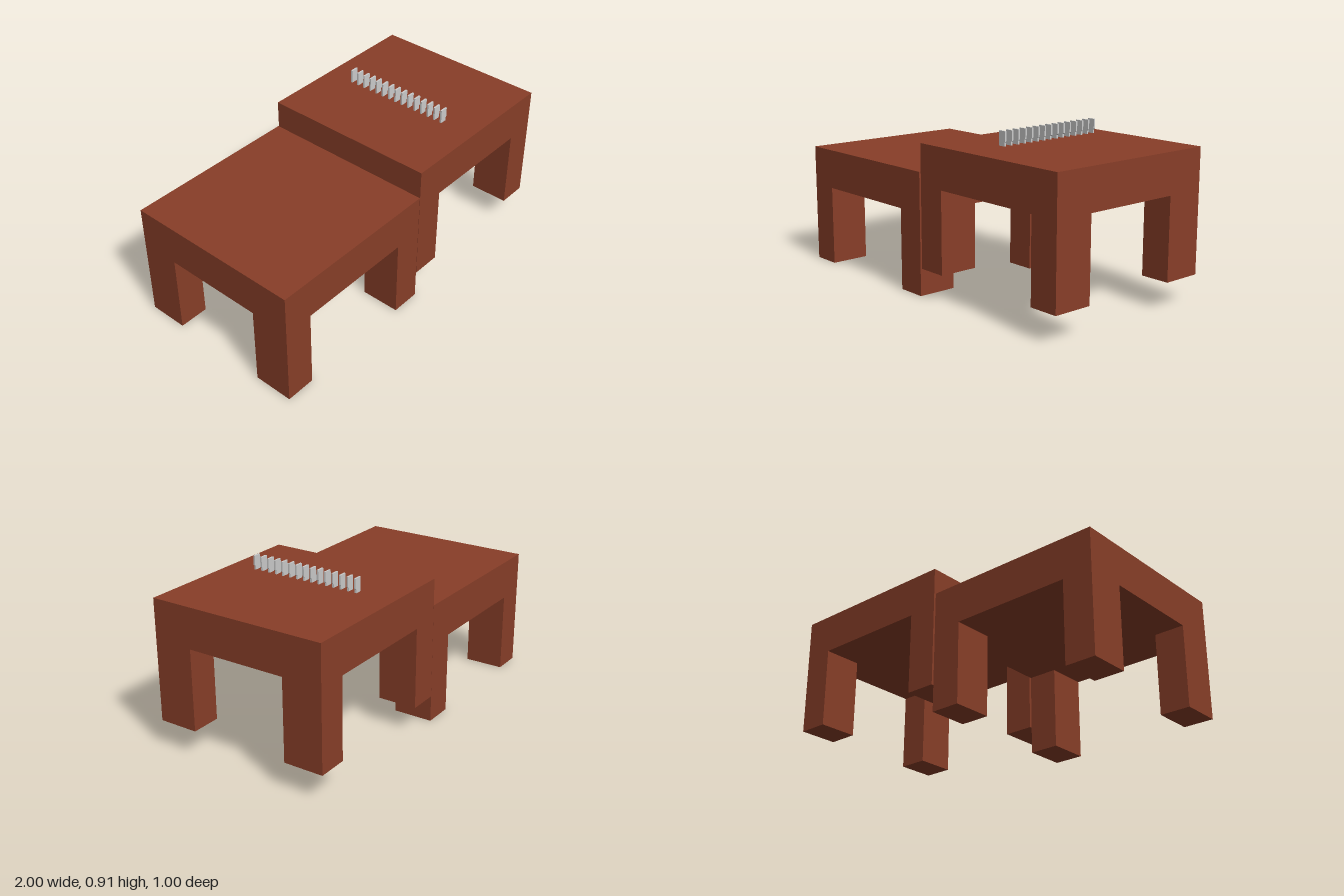
import * as THREE from 'three';

const SIZE = 0.996, HEIGHT = 0.665, SLAB = 0.22, LEG_X = 0.166, LEG_Z = 0.22;

// A square table: thick slab on four corner legs, standing on its own y = 0
function makeTable(name, material) {
  const table = new THREE.Group();
  table.name = name;

  const top = new THREE.Mesh(new THREE.BoxGeometry(SIZE, SLAB, SIZE), material);
  top.name = 'tableTop';
  top.position.y = HEIGHT - SLAB / 2;
  table.add(top);

  const legHeight = HEIGHT - SLAB;
  const legGeometry = new THREE.BoxGeometry(LEG_X, legHeight, LEG_Z);
  for (const sx of [-1, 1]) {
    for (const sz of [-1, 1]) {
      const leg = new THREE.Mesh(legGeometry, material);
      leg.name = (sz > 0 ? 'front' : 'back') + (sx > 0 ? 'Left' : 'Right') + 'Leg';
      leg.position.set(sx * (SIZE - LEG_X) / 2, legHeight / 2, sz * (SIZE - LEG_Z) / 2);
      table.add(leg);
    }
  }
  return table;
}

// A row of thin upright plates floating above the higher table
function makePlateRow(material) {
  const row = new THREE.Group();
  row.name = 'plateRow';
  const count = 15, spacing = 0.0443, thickness = 0.01;

  // Plate outline with its lower left corner stepped in
  const outline = new THREE.Shape([
    [0.405, 0.834], [0.443, 0.834], [0.443, 0.853],
    [0.449, 0.858], [0.449, 0.91], [0.405, 0.91],
  ].map(([x, y]) => new THREE.Vector2(x, y)));
  const geometry = new THREE.ExtrudeGeometry(outline, { depth: thickness, bevelEnabled: false });
  geometry.translate(0, 0, -thickness / 2);

  for (let i = 0; i < count; i++) {
    const plate = new THREE.Mesh(geometry, material);
    plate.name = 'plate';
    plate.position.z = (i - (count - 1) / 2) * spacing;
    row.add(plate);
  }
  return row;
}

export function createModel() {
  const model = new THREE.Group();
  model.name = 'steppedTables';
  const wood = new THREE.MeshStandardMaterial({ color: 0x883e28 });
  const grey = new THREE.MeshStandardMaterial({ color: 0xcccccc });

  // Two equal tables side by side, one raised
  const lowTable = makeTable('lowTable', wood);
  lowTable.position.set(-1 + SIZE / 2, 0, 0.002);
  const highTable = makeTable('highTable', wood);
  highTable.position.set(1 - SIZE / 2, 0.15, -0.002);

  model.add(lowTable, highTable, makePlateRow(grey));
  return model;
}
